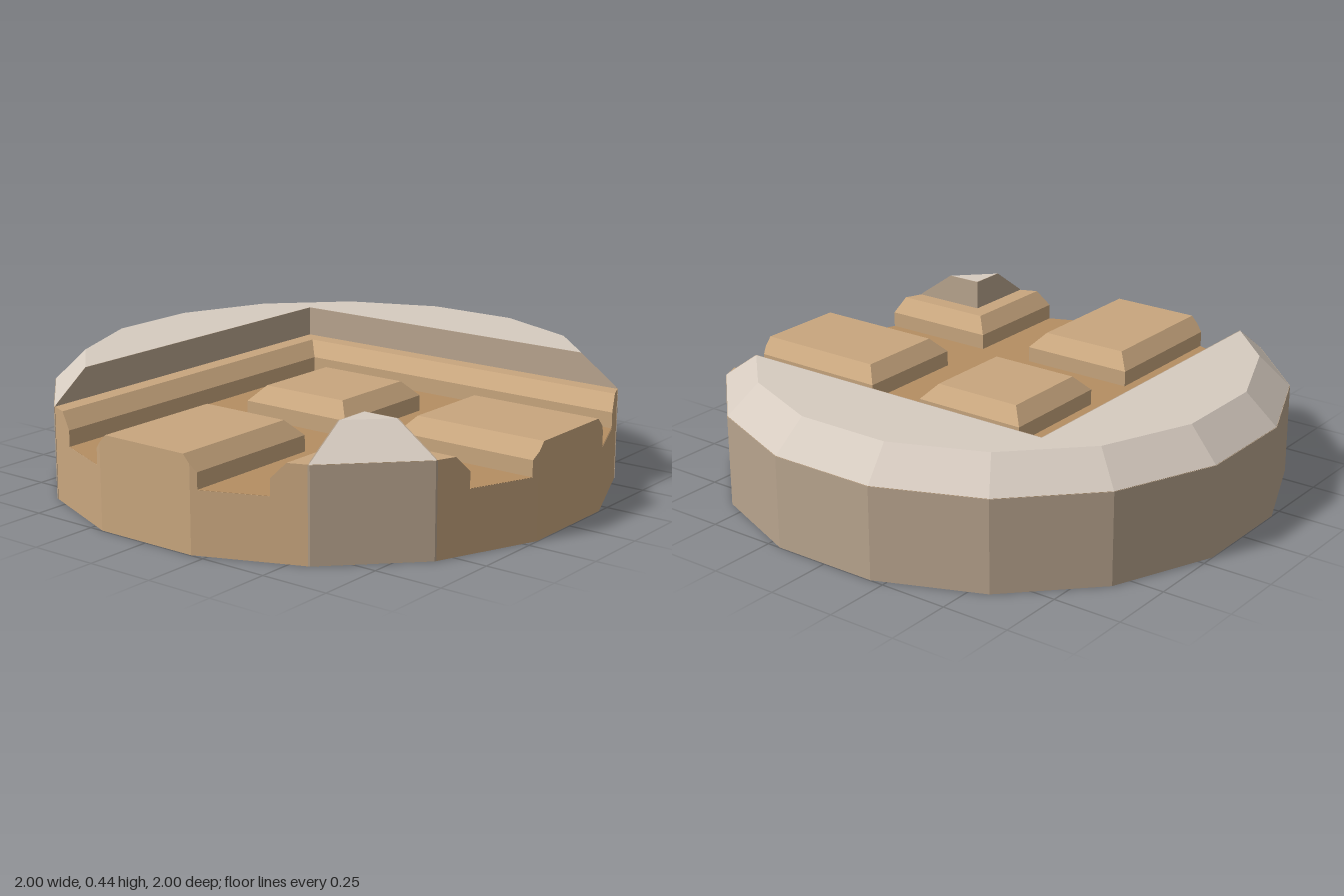
import * as THREE from 'three';

const FLOOR = 0.222, LEDGE = 0.335, TOP = 0.445;
const mat = (color) => new THREE.MeshStandardMaterial({ color, flatShading: true, side: THREE.DoubleSide });
const TAN = mat(0xc8a67e), SOIL = mat(0xb58e62), WALL = mat(0xb8a48e), STONE = mat(0xd6cbc0);

// half-space [nx, ny, nz, d]: keeps points with n.p <= d
const minX = (v) => [-1, 0, 0, -v], maxX = (v) => [1, 0, 0, v];
const minZ = (v) => [0, 0, -1, -v], maxZ = (v) => [0, 0, 1, v];
const slab = (y0, y1) => [[0, -1, 0, -y0], [0, 1, 0, y1]];

// sixteen sides of the disc, sloping inward above y0 when slope > 0
function ring(apothem, slope = 0, y0 = 0) {
  return Array.from({ length: 16 }, (_, i) => {
    const a = (i * Math.PI) / 8;
    return [Math.cos(a), slope, Math.sin(a), apothem + slope * y0];
  });
}

// vertical side plus its chamfer above y = 0.28
function chamfered(plane) {
  const k = 0.05 / 0.055;
  return [plane, [plane[0], k, plane[2], plane[3] + k * 0.28]];
}

// convex solid bounded by half-spaces, one flat fan per plane
function solid(name, material, halfSpaces) {
  const planes = halfSpaces.map(([x, y, z, d]) => {
    const l = Math.hypot(x, y, z);
    return { n: new THREE.Vector3(x / l, y / l, z / l), d: d / l };
  });
  const points = [];
  const m = new THREE.Matrix3();
  for (let i = 0; i < planes.length; i++)
    for (let j = i + 1; j < planes.length; j++)
      for (let k = j + 1; k < planes.length; k++) {
        const [a, b, c] = [planes[i], planes[j], planes[k]];
        m.set(a.n.x, a.n.y, a.n.z, b.n.x, b.n.y, b.n.z, c.n.x, c.n.y, c.n.z);
        if (Math.abs(m.determinant()) < 1e-6) continue;
        const p = new THREE.Vector3(a.d, b.d, c.d).applyMatrix3(m.invert());
        if (planes.some((q) => q.n.dot(p) > q.d + 1e-6)) continue;
        if (!points.some((q) => q.distanceTo(p) < 1e-5)) points.push(p);
      }
  const pos = [];
  for (const { n, d } of planes) {
    const face = points.filter((p) => Math.abs(n.dot(p) - d) < 1e-5);
    if (face.length < 3) continue;
    const mid = face.reduce((s, p) => s.add(p), new THREE.Vector3()).divideScalar(face.length);
    const u = face[0].clone().sub(mid).normalize();
    const v = n.clone().cross(u);
    const angle = (p) => {
      const r = p.clone().sub(mid);
      return Math.atan2(r.dot(v), r.dot(u));
    };
    face.sort((p, q) => angle(p) - angle(q));
    for (let i = 1; i < face.length - 1; i++)
      for (const p of [face[0], face[i], face[i + 1]]) pos.push(p.x, p.y, p.z);
  }
  const geo = new THREE.BufferGeometry();
  geo.setAttribute('position', new THREE.Float32BufferAttribute(pos, 3));
  geo.computeVertexNormals();
  const mesh = new THREE.Mesh(geo, material);
  mesh.name = name;
  return mesh;
}

export function createModel() {
  const group = new THREE.Group();
  group.name = 'carvedDisc';
  const add = (...args) => group.add(solid(...args));
  const R = 1 - 0.002;

  // base disc and the darker floor of the grooves
  add('base', TAN, [...ring(R), ...slab(0, FLOOR - 0.001)]);
  add('grooveFloor', SOIL, [...ring(R - 0.001), ...slab(0.2, FLOOR)]);

  // raised chamfered blocks between the grooves
  const layer = [...ring(R), ...slab(FLOOR - 0.001, LEDGE)];
  const spanX = [minX(-0.222), maxX(0.222)].flatMap(chamfered);
  const spanZ = [minZ(-0.222), maxZ(0.222)].flatMap(chamfered);
  const outX = chamfered(minX(0.445)), outZ = chamfered(minZ(0.445));
  add('centreBlock', TAN, [...layer, ...spanX, ...spanZ]);
  add('leftBlock', TAN, [...layer, ...outX, ...spanZ]);
  add('frontBlock', TAN, [...layer, ...spanX, ...outZ]);
  add('cornerBlock', TAN, [...layer, ...outX, ...outZ]);

  // ledge along the back and the right, mitred on the diagonal
  const backSide = [-1, 0, 1, 0], rightSide = [1, 0, -1, 0];
  add('backLedge', TAN, [...layer, ...chamfered(maxZ(-0.445)), backSide]);
  add('rightLedge', TAN, [...layer, ...chamfered(maxX(-0.445)), rightSide]);

  // bevelled upper rim, its inner facing and the outer wall below it
  const crown = [...ring(R, 1, LEDGE), ...slab(LEDGE, TOP)];
  const skirt = [...ring(1), ...slab(0.001, LEDGE - 0.001)];
  const e = 0.56, t = 0.003;
  const rims = [
    { name: 'back', edges: [maxZ(-e)], inner: [maxZ(-e - t)], miter: [backSide] },
    { name: 'right', edges: [maxX(-e)], inner: [maxX(-e - t)], miter: [rightSide] },
    { name: 'corner', edges: [minX(e), minZ(e)], inner: [minX(e + t), minZ(e + t)], miter: [] },
  ];
  for (const { name, edges, inner, miter } of rims) {
    add(name + 'Rim', STONE, [...crown, ...inner, ...miter]);
    add(name + 'OuterWall', WALL, [...skirt, ...edges, ...miter]);
    edges.forEach((edge, i) => {
      const back = inner[i].map((v) => -v);
      add(name + 'RimFacing', WALL, [...crown, ...edges, back, ...miter]);
    });
  }
  return group;
}
